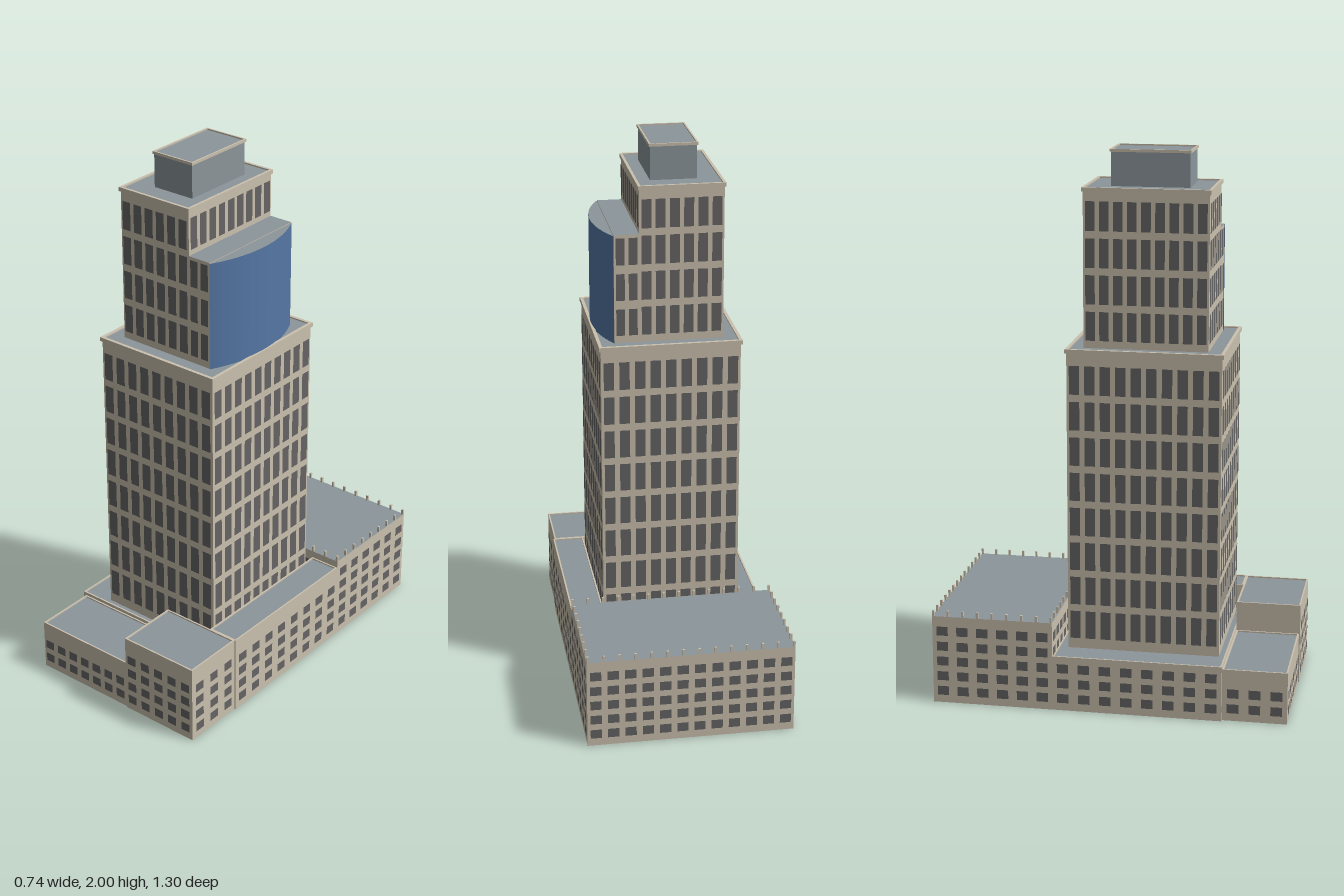
import * as THREE from 'three';
import { mergeGeometries } from 'three/addons/utils/BufferGeometryUtils.js';

const mat = (name, color, side = THREE.FrontSide) => {
  const m = new THREE.MeshStandardMaterial({ color, side });
  m.name = name;
  return m;
};

export function createModel() {
  const stone = mat('stone', 0xcbc1ae, THREE.DoubleSide);
  const roofGrey = mat('roof grey', 0x8c969b, THREE.DoubleSide);
  const windowGrey = mat('window grey', 0x666464);
  const glassBlue = mat('glass blue', 0x5577a5);

  const model = new THREE.Group();
  model.name = 'tower';

  const add = (parent, name, geos, material) => {
    const mesh = new THREE.Mesh(Array.isArray(geos) ? mergeGeometries(geos) : geos, material);
    mesh.name = name;
    parent.add(mesh);
    return mesh;
  };

  const box = (x0, x1, y0, y1, z0, z1) =>
    new THREE.BoxGeometry(x1 - x0, y1 - y0, z1 - z0)
      .translate((x0 + x1) / 2, (y0 + y1) / 2, (z0 + z1) / 2);

  // Moves an upright panel from the local facade frame to one side of a block
  const place = (geo, side, b, out = 0) => {
    const cx = (b.x[0] + b.x[1]) / 2, cz = (b.z[0] + b.z[1]) / 2;
    if (side === 'front') return geo.translate(cx, 0, b.z[1] + out);
    if (side === 'back') return geo.rotateY(Math.PI).translate(cx, 0, b.z[0] - out);
    if (side === 'left') return geo.rotateY(Math.PI / 2).translate(b.x[1] + out, 0, cz);
    return geo.rotateY(-Math.PI / 2).translate(b.x[0] - out, 0, cz);
  };
  const sideWidth = (side, b) =>
    side === 'front' || side === 'back' ? b.x[1] - b.x[0] : b.z[1] - b.z[0];

  // Hollow block: four walls open below, flat roof, optional rim and windows
  function block(name, b, { walls = stone, rim = 0, out = 0, rimHeight = 0.012, windows = {} } = {}) {
    const g = new THREE.Group();
    g.name = name;
    model.add(g);
    const [y0, y1] = b.y;
    add(g, name + 'Walls', ['front', 'back', 'left', 'right'].map((s) =>
      place(new THREE.PlaneGeometry(sideWidth(s, b), y1 - y0).translate(0, (y0 + y1) / 2, 0), s, b)), walls);
    add(g, name + 'Roof', new THREE.PlaneGeometry(b.x[1] - b.x[0], b.z[1] - b.z[0])
      .rotateX(-Math.PI / 2).translate((b.x[0] + b.x[1]) / 2, y1, (b.z[0] + b.z[1]) / 2), roofGrey);
    if (rim) {
      const xa = b.x[0] - out, xb = b.x[1] + out, za = b.z[0] - out, zb = b.z[1] + out;
      const top = y1 + 0.005, low = top - rimHeight;
      add(g, name + 'Rim', [
        box(xa, xb, low, top, za, za + rim), box(xa, xb, low, top, zb - rim, zb),
        box(xa, xa + rim, low, top, za + rim, zb - rim), box(xb - rim, xb, low, top, za + rim, zb - rim),
      ], stone);
    }
    const panes = [];
    for (const [side, { cols, w, rows, h }] of Object.entries(windows)) {
      const pitch = sideWidth(side, b) / cols;
      for (const y of rows)
        for (let i = 0; i < cols; i++)
          panes.push(place(new THREE.PlaneGeometry(w, h)
            .translate((i - (cols - 1) / 2) * pitch, y, 0), side, b, 0.002));
    }
    if (panes.length) add(g, name + 'Windows', panes, windowGrey);
    return g;
  }

  // Podium window rows, lowest first
  const rows = [0.046, 0.103, 0.16, 0.217, 0.275];
  const small = (cols, from, to, w = 0.042) => ({ cols, w, rows: rows.slice(from, to), h: 0.034 });

  // Rear annex with small posts around its roof
  const annexBox = { x: [-0.37, 0.37], y: [0, 0.33], z: [-0.648, -0.205] };
  const annex = block('rearAnnex', annexBox, {
    windows: {
      back: small(12, 0, 5, 0.04), front: small(12, 3, 5, 0.04),
      left: small(6, 0, 5), right: small(6, 0, 5),
    },
  });
  const posts = [];
  const post = (x, z) => posts.push(box(x - 0.004, x + 0.004, 0.33, 0.352, z - 0.004, z + 0.004));
  for (let i = 0; i <= 13; i++)
    for (const z of [-0.644, -0.209]) post(-0.366 + (0.732 * i) / 13, z);
  for (let i = 1; i < 8; i++)
    for (const x of [-0.366, 0.366]) post(x, -0.644 + (0.435 * i) / 8);
  add(annex, 'roofPosts', posts, stone);

  // Middle and front podium
  block('lowPodium', { x: [-0.37, 0.25], y: [0, 0.2], z: [-0.205, 0.41] }, {
    rim: 0.006, windows: { right: small(8, 0, 3) },
  });
  block('sidePodium', { x: [0.252, 0.37], y: [0, 0.298], z: [-0.205, 0.41] }, {
    rim: 0.006, windows: { left: small(8, 0, 4) },
  });
  block('frontLowWing', { x: [-0.358, 0.05], y: [0, 0.188], z: [0.41, 0.644] }, {
    rim: 0.006, windows: { front: small(7, 0, 2, 0.038), right: small(3, 0, 2) },
  });
  block('frontHighWing', { x: [0.052, 0.365], y: [0, 0.298], z: [0.41, 0.648] }, {
    rim: 0.006, windows: { front: small(5, 0, 4, 0.038), left: small(3, 0, 4) },
  });

  // Main shaft
  const shaftRows = Array.from({ length: 8 }, (_, i) => 1.2 - 0.13 * i);
  const tall = (cols, r, w = 0.037, h = 0.104) => ({ cols, w, rows: r, h });
  block('mainShaft', { x: [-0.255, 0.246], y: [0, 1.306], z: [-0.169, 0.384] }, {
    rim: 0.012, out: 0.006, rimHeight: 0.015,
    windows: {
      front: tall(9, shaftRows), back: tall(9, shaftRows),
      left: tall(10, shaftRows), right: tall(10, shaftRows),
    },
  });

  // Upper tier
  const upperRows = [1.385, 1.515, 1.645, 1.775];
  block('upperTier', { x: [-0.2, 0.1], y: [1.306, 1.87], z: [-0.118, 0.328] }, {
    rim: 0.01, out: 0.005, rimHeight: 0.015,
    windows: {
      front: tall(6, upperRows, 0.035), back: tall(6, upperRows, 0.035),
      left: tall(9, [1.78], 0.034, 0.115), right: tall(9, upperRows, 0.034),
    },
  });

  // Lower bay beside the upper tier
  const bayRows = upperRows.slice(0, 3).map((y) => y - 0.003);
  block('sideBay', { x: [0.1, 0.19], y: [1.306, 1.702], z: [-0.118, 0.328] }, {
    windows: { front: tall(2, bayRows, 0.031, 0.098), back: tall(2, bayRows, 0.031, 0.098) },
  });

  // Bowed glass front of the bay
  const radius = 0.4877, half = 0.4795;
  const bow = new THREE.Shape();
  bow.absarc(0.246 - radius, -0.105, radius, -half, half, false);
  bow.closePath();
  add(model, 'bowedGlass', new THREE.ExtrudeGeometry(bow, { depth: 0.394, bevelEnabled: false, curveSegments: 16 })
    .rotateX(-Math.PI / 2).translate(0, 1.306, 0), [roofGrey, glassBlue]);

  // Rooftop plant room
  block('plantRoom', { x: [-0.117, 0.049], y: [1.87, 1.995], z: [-0.034, 0.247] }, {
    walls: roofGrey, rim: 0.006, out: 0.004, rimHeight: 0.01,
  });

  return model;
}
